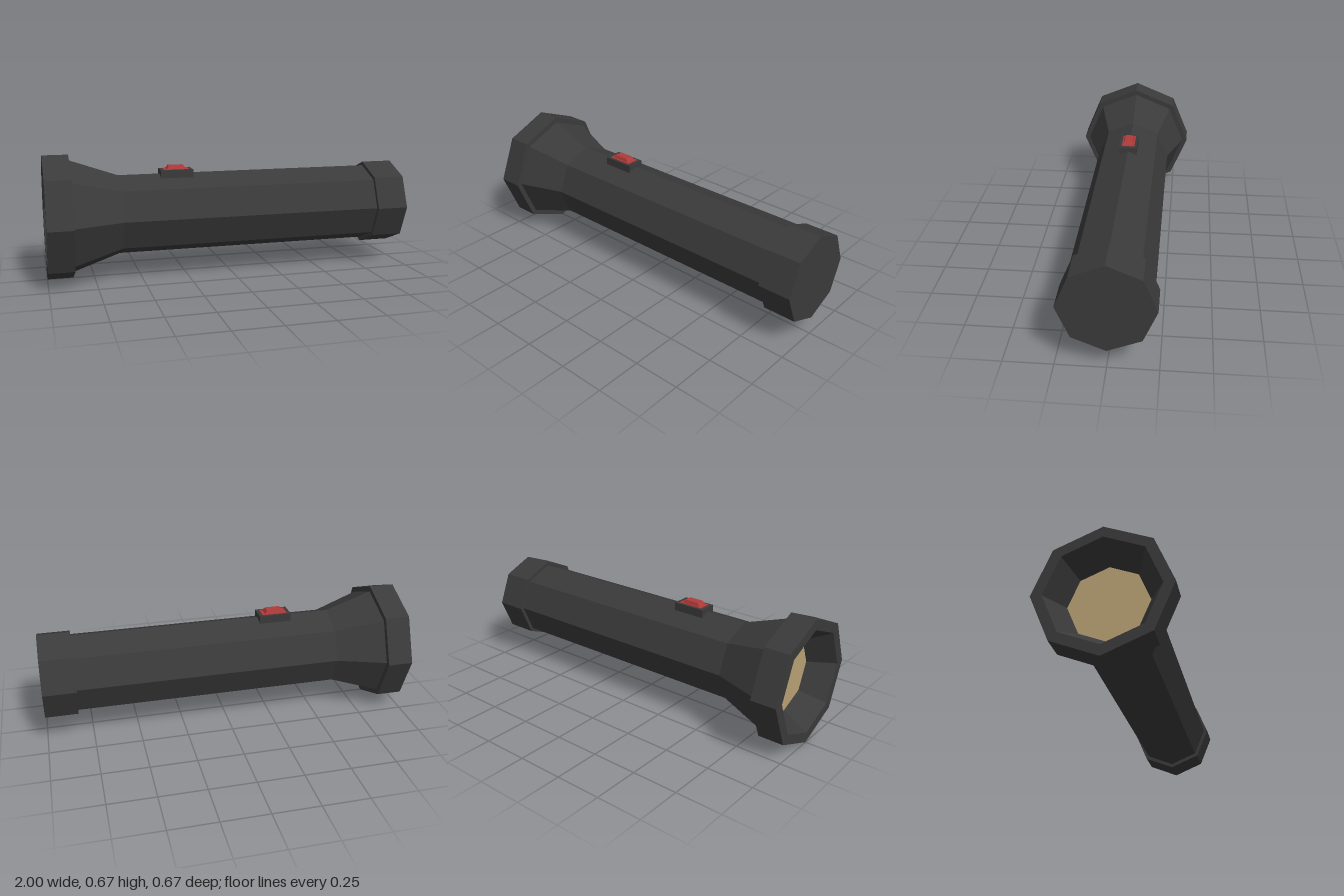
import * as THREE from 'three';

const mat = (name, color) => new THREE.MeshStandardMaterial({ name, color, flatShading: true });

export function createModel() {
  const casing = mat('charcoal casing', 0x3a3a3a);
  const red = mat('switch red', 0xb03a3a);
  const glass = mat('warm lens', 0xb8a274);

  const AXIS = 0.336; // height of the long axis
  const SWITCH_X = -0.29;
  const group = new THREE.Group();
  group.name = 'flashlight';

  const add = (name, geometry, material, x, y) => {
    const mesh = new THREE.Mesh(geometry, material);
    mesh.name = name;
    mesh.position.set(x, y, 0);
    group.add(mesh);
    return mesh;
  };

  // Eight-sided turned part along x, from [radius, x] pairs
  const turned = (name, profile, material) => {
    const points = profile.map(([r, x]) => new THREE.Vector2(r, x));
    const geometry = new THREE.LatheGeometry(points, 8).rotateZ(-Math.PI / 2);
    return add(name, geometry, material, 0, AXIS);
  };

  // Head: reflector cone, front rim, outer wall and back lip
  turned('head', [[0.2, -0.866], [0.28, -1], [0.336, -1], [0.336, -0.863], [0.3, -0.863]], casing);
  turned('lens', [[0, -0.866], [0.2, -0.866]], glass);

  // Flared neck and barrel
  turned('barrel', [[0.306, -0.864], [0.216, -0.607], [0.216, 0.825]], casing);

  // Tail cap
  turned('tailCap', [[0.21, 0.825], [0.237, 0.825], [0.237, 1], [0, 1]], casing);

  // Switch: mount, inset plate and tapered button
  add('switchMount', new THREE.BoxGeometry(0.178, 0.05, 0.099), casing, SWITCH_X, 0.55);
  add('switchPlate', new THREE.BoxGeometry(0.138, 0.006, 0.072), red, SWITCH_X, 0.574);

  const button = new THREE.BoxGeometry(0.108, 0.02, 0.058);
  const p = button.attributes.position;
  for (let i = 0; i < p.count; i++) {
    if (p.getY(i) > 0) {
      p.setX(i, p.getX(i) * 0.76);
      p.setZ(i, p.getZ(i) * 0.76);
    }
  }
  button.computeVertexNormals();
  add('switchButton', button, red, SWITCH_X, 0.585);

  return group;
}
